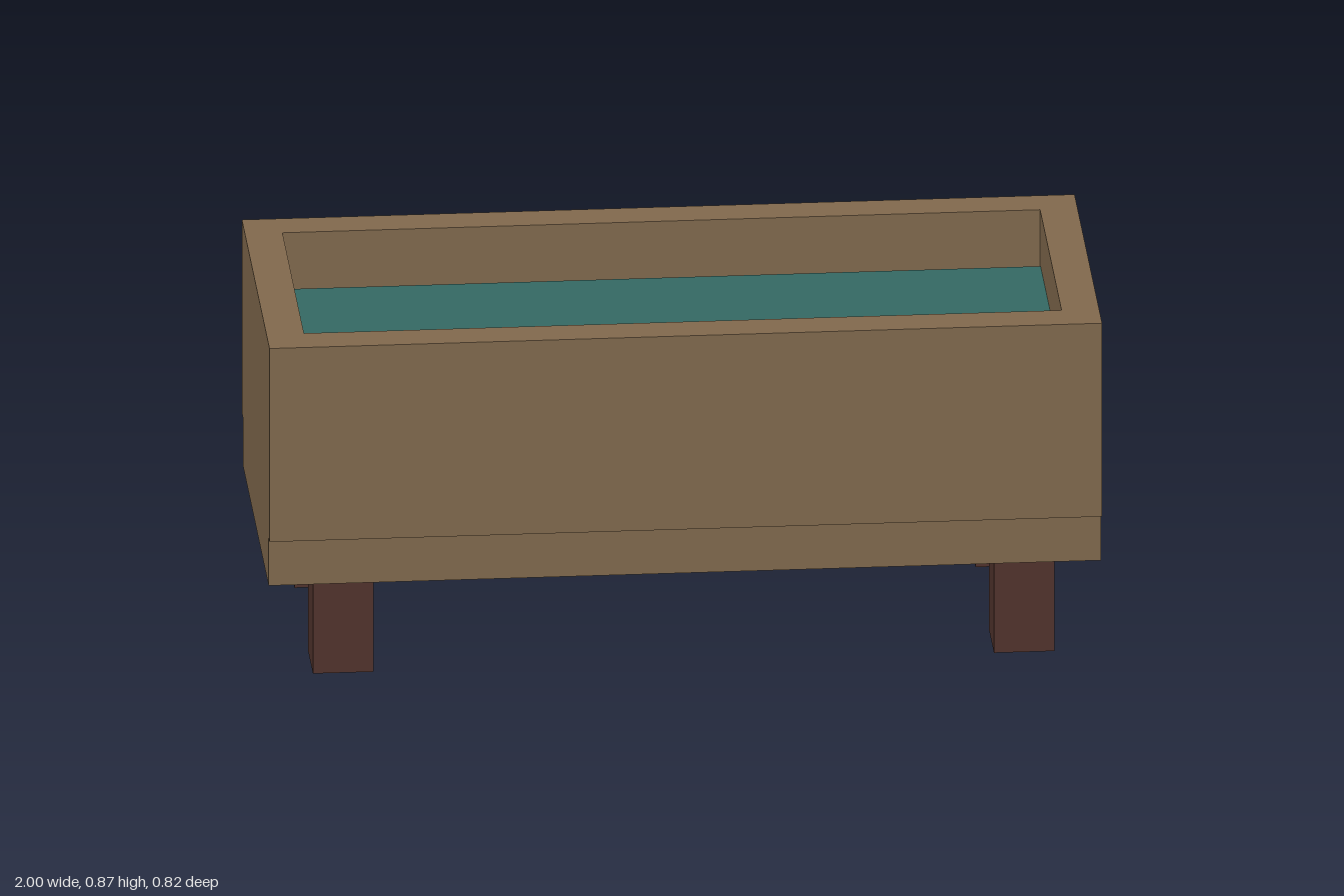
import * as THREE from 'three';

const material = (name, color) => {
  const m = new THREE.MeshStandardMaterial({ color });
  m.name = name;
  return m;
};

export function createModel() {
  const wood = material('wood', 0x826a4e);
  const darkWood = material('dark wood', 0x52342d);
  const teal = material('teal', 0x356a64);
  const group = new THREE.Group();

  const box = (name, mat, w, h, d, x, y, z) => {
    const mesh = new THREE.Mesh(new THREE.BoxGeometry(w, h, d), mat);
    mesh.name = name;
    mesh.position.set(x, y + h / 2, z); // y is the underside
    group.add(mesh);
  };
  const rectangle = (PathType, hx, hy) => new PathType([
    new THREE.Vector2(-hx, -hy), new THREE.Vector2(hx, -hy),
    new THREE.Vector2(hx, hy), new THREE.Vector2(-hx, hy),
  ]);

  // Open rectangular frame forming the four walls
  const outline = rectangle(THREE.Shape, 1, 0.41);
  outline.holes.push(rectangle(THREE.Path, 0.91, 0.32));
  const wallGeometry = new THREE.ExtrudeGeometry(outline, { depth: 0.5, bevelEnabled: false });
  wallGeometry.rotateX(-Math.PI / 2);
  const walls = new THREE.Mesh(wallGeometry, wood);
  walls.name = 'walls';
  walls.position.y = 0.37;
  group.add(walls);

  // Recessed base, and the filling with a narrow gap along its long sides
  box('base', wood, 2, 0.123, 0.77, 0, 0.247, 0);
  box('filling', teal, 1.82, 0.36, 0.61, 0, 0.37, 0);

  // Four square legs
  for (const sx of [-1, 1]) {
    for (const sz of [-1, 1]) {
      box(`${sz > 0 ? 'front' : 'back'}${sx > 0 ? 'Left' : 'Right'}Leg`, darkWood,
        0.145, 0.247, 0.145, sx * 0.818, 0, sz * 0.273);
    }
  }
  return group;
}
